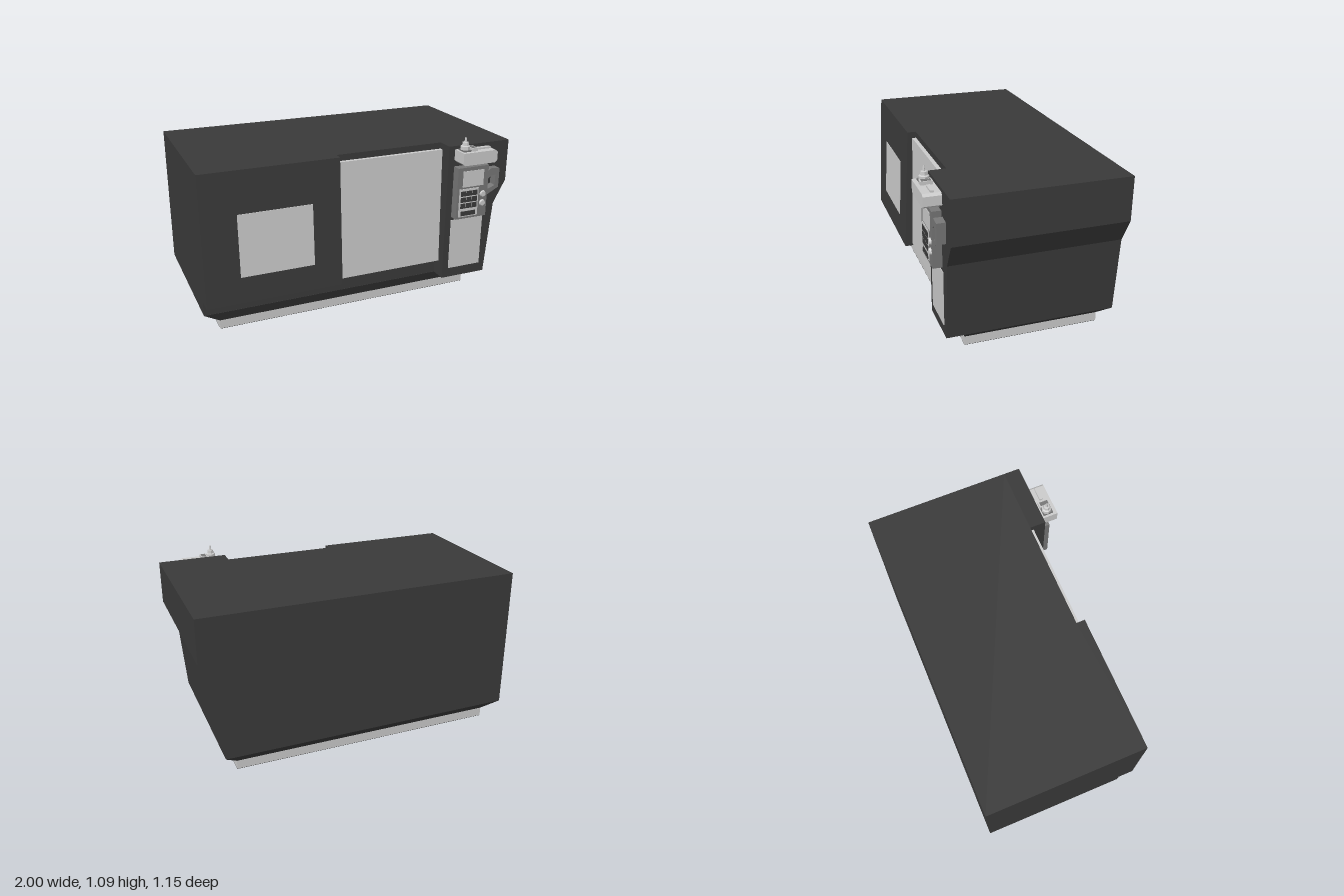
import * as THREE from 'three';

const material = (color) => new THREE.MeshStandardMaterial({ color, flatShading: true });

export function createModel() {
  const model = new THREE.Group();
  model.name = 'machiningCentre';
  const light = material(0xcccccc);
  const mid = material(0x777777);
  const dark = material(0x3a3a3a);

  const add = (name, geometry, mat, parent = model) => {
    const mesh = new THREE.Mesh(geometry, mat);
    mesh.name = name;
    parent.add(mesh);
    return mesh;
  };
  const group = (name) => {
    const g = new THREE.Group();
    g.name = name;
    model.add(g);
    return g;
  };
  const toPoints = (pts) => pts.map(([a, b]) => new THREE.Vector2(a, b));

  // Box given by its limits on each axis
  const block = (x0, x1, y0, y1, z0, z1) =>
    new THREE.BoxGeometry(x1 - x0, y1 - y0, z1 - z0)
      .translate((x0 + x1) / 2, (y0 + y1) / 2, (z0 + z1) / 2);

  // Front outline (x, y) extruded from z0 to z1
  const frontPrism = (pts, z0, z1, hole) => {
    const shape = new THREE.Shape(toPoints(pts));
    if (hole) shape.holes.push(new THREE.Path(toPoints(hole)));
    return new THREE.ExtrudeGeometry(shape, { depth: z1 - z0, bevelEnabled: false })
      .translate(0, 0, z0);
  };

  // Side outline (z, y) extruded from x0 to x1
  const sidePrism = (pts, x0, x1) =>
    new THREE.ExtrudeGeometry(new THREE.Shape(toPoints(pts)), { depth: x1 - x0, bevelEnabled: false })
      .rotateY(-Math.PI / 2)
      .translate(x1, 0, 0);

  // Enclosure with stepped right-hand flank
  const flank = [[0.88, 0.125], [0.92, 0.605], [1, 0.755], [1, 1.025]];
  add('mainBody', frontPrism([[-1, 0.125], ...flank, [-1, 1.025]], -0.575, 0.365), dark);
  add('controlColumn', frontPrism([[0.565, 0.125], ...flank, [0.565, 1.025]], 0.365, 0.47), dark);

  // Leaning left front panel with its window
  add('leftPanel', sidePrism([[0.365, 0.215], [0.465, 0.215], [0.42, 1.025], [0.365, 1.025]], -1, -0.145), dark);
  add('window', sidePrism([[0.44, 0.38], [0.46, 0.38], [0.438, 0.765], [0.42, 0.765]], -0.785, -0.325), light);

  // Leaning sliding door in the recess
  add('slidingDoor', sidePrism([[0.365, 0.228], [0.415, 0.228], [0.39, 0.985], [0.365, 0.985]], -0.145, 0.565), light);

  // Tapered skirt: a box whose lower corners move inward
  const skirt = block(-1, 0.88, 0.058, 0.125, -0.575, 0.367);
  const p = skirt.attributes.position;
  for (let i = 0; i < p.count; i++) {
    if (p.getY(i) > 0.1) continue;
    p.setX(i, p.getX(i) < 0 ? -0.9 : 0.8);
    p.setZ(i, p.getZ(i) < 0 ? -0.512 : 0.338);
  }
  skirt.computeVertexNormals();
  add('skirt', skirt, dark);
  add('plinth', block(-0.9, 0.8, 0.002, 0.058, -0.512, 0.338), light);
  add('floorPlate', block(-0.9, 0.8, 0, 0.002, -0.512, 0.338), dark);

  // Access panel below the controls
  add('accessPanel', block(0.607, 0.842, 0.19, 0.53, 0.465, 0.474), light);

  // Control panel
  const controls = group('controlPanel');
  add('controlHousing', block(0.607, 0.828, 0.553, 0.893, 0.47, 0.525), mid, controls);
  add('screen', block(0.644, 0.794, 0.765, 0.87, 0.52, 0.528), light, controls);
  add('keypadPlate', block(0.623, 0.762, 0.567, 0.754, 0.52, 0.528), light, controls);
  for (let row = 0; row < 3; row++) {
    for (let col = 0; col < 3; col++) {
      const x = 0.634 + col * 0.041;
      const y = 0.706 - row * 0.041;
      add('key', block(x, x + 0.037, y, y + 0.033, 0.525, 0.531), dark, controls);
    }
  }
  add('wideKey', block(0.639, 0.746, 0.574, 0.604, 0.525, 0.531), dark, controls);
  for (const y of [0.706, 0.645]) {
    const knob = add('knob', new THREE.CylinderGeometry(0.017, 0.022, 0.012, 16), light, controls);
    knob.rotation.x = Math.PI / 2;
    knob.position.set(0.795, y, 0.53);
  }
  add('panelHandle', frontPrism(
    [[0.826, 0.69], [0.912, 0.735], [0.912, 0.86], [0.85, 0.867], [0.826, 0.85]], 0.47, 0.522,
    [[0.832, 0.73], [0.832, 0.8], [0.85, 0.817], [0.884, 0.82], [0.884, 0.75]]), mid, controls);

  // Tool tray above the controls
  const tray = group('toolTray');
  add('trayBody', frontPrism(
    [[0.607, 0.935], [0.62, 0.923], [0.837, 0.923], [0.85, 0.935], [0.85, 0.99], [0.835, 1.003], [0.607, 1.003]],
    0.47, 0.575), light, tray);
  add('toolBase', block(0.622, 0.675, 1, 1.012, 0.485, 0.55), mid, tray);

  // Tapered tool holder standing in the tray
  const holder = [[0, 1.01], [0.03, 1.01], [0.03, 1.033], [0.021, 1.038], [0.019, 1.058], [0.008, 1.06], [0.004, 1.09], [0, 1.09]];
  add('toolHolder', new THREE.LatheGeometry(toPoints(holder), 8).translate(0.65, 0, 0.515), light, tray);

  // Small open box and slotted strip
  add('trayBox', block(0.677, 0.718, 1, 1.024, 0.482, 0.553), light, tray);
  add('trayBoxInset', block(0.684, 0.711, 1.02, 1.026, 0.49, 0.545), mid, tray);
  add('trayStrip', block(0.738, 0.828, 1, 1.014, 0.506, 0.528), light, tray);

  return model;
}
